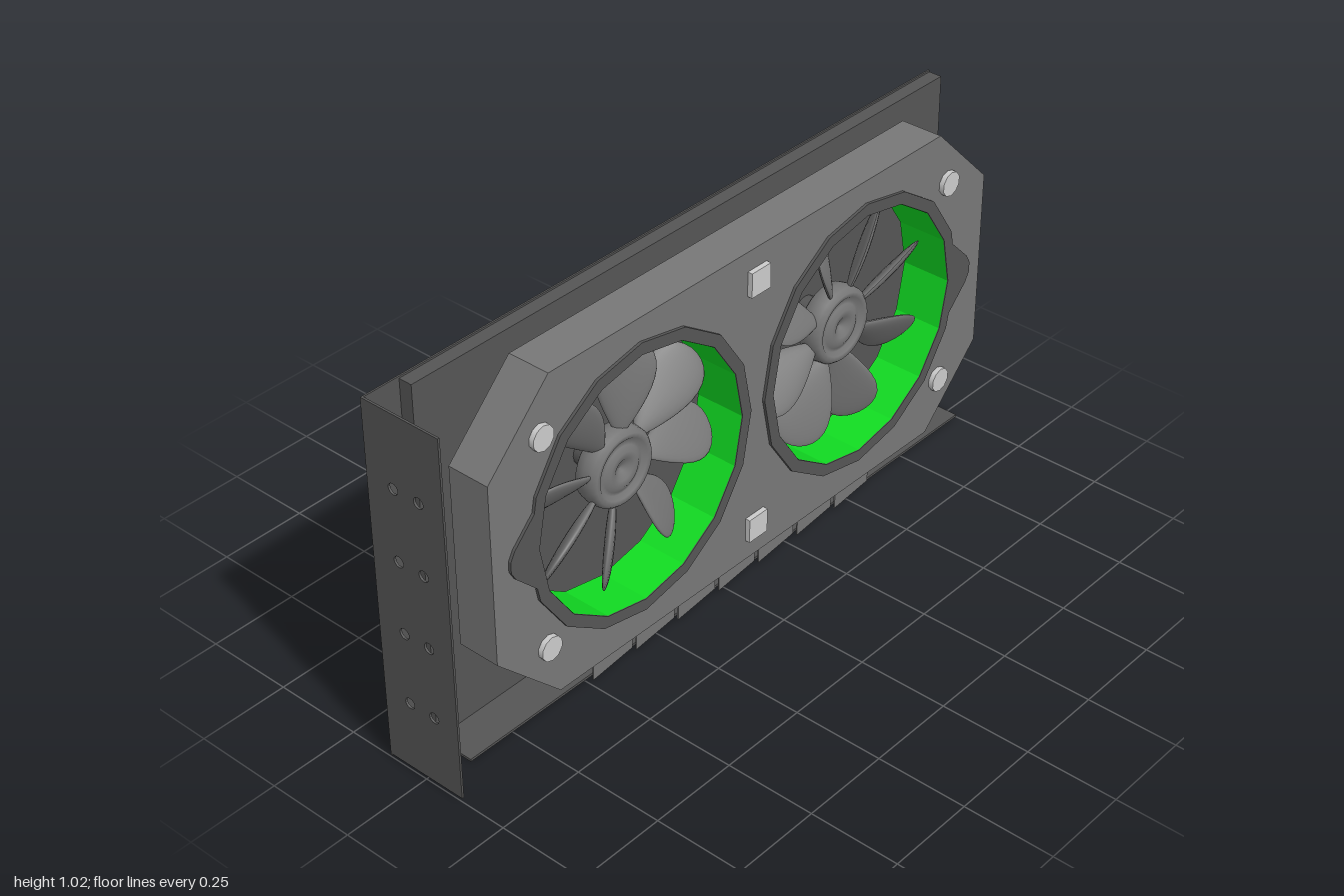
import * as THREE from 'three';

const mat = (color, extra = {}) => new THREE.MeshStandardMaterial({ color, ...extra });
const dark = mat(0x555555);
const mid = mat(0x777777);
const light = mat(0xcccccc);
const green = mat(0x11dd22, { side: THREE.DoubleSide, flatShading: true });

const FANS = [
  { x: -0.36, side: -1, start: 37 },
  { x: 0.46, side: 1, start: 15 },
];
const FAN_Y = 0.565;
const SIDES = 16;

function add(parent, name, geometry, material, x = 0, y = 0, z = 0) {
  const mesh = new THREE.Mesh(geometry, material);
  mesh.name = name;
  mesh.position.set(x, y, z);
  parent.add(mesh);
  return mesh;
}

// Box given by its lower and upper corners
function slab(parent, name, material, [x0, y0, z0], [x1, y1, z1]) {
  return add(parent, name, new THREE.BoxGeometry(x1 - x0, y1 - y0, z1 - z0), material,
    (x0 + x1) / 2, (y0 + y1) / 2, (z0 + z1) / 2);
}

function polygon(radius, cx = 0, cy = 0, sides = SIDES) {
  return Array.from({ length: sides }, (_, i) => {
    const a = (i / sides) * Math.PI * 2;
    return new THREE.Vector2(cx + radius * Math.cos(a), cy + radius * Math.sin(a));
  });
}

function extrude(outline, holes, depth) {
  const shape = new THREE.Shape(outline);
  for (const hole of holes) shape.holes.push(new THREE.Path(hole));
  return new THREE.ExtrudeGeometry(shape, { depth, bevelEnabled: false });
}

const points = (list) => list.map(([x, y]) => new THREE.Vector2(x, y));

// Paddle blade: a sphere stretched outward, widened toward the tip and pitched
function bladeGeometry(side) {
  const geo = new THREE.SphereGeometry(1, 20, 16);
  const p = geo.attributes.position;
  for (let i = 0; i < p.count; i++) {
    const t = (p.getY(i) + 1) / 2;
    const w = p.getX(i) * (0.03 + 0.075 * t);
    const h = p.getZ(i) * 0.013;
    const pitch = side * (0.75 - 0.15 * t);
    p.setXYZ(i,
      w * Math.cos(pitch) + h * Math.sin(pitch),
      0.085 + 0.25 * t,
      -w * Math.sin(pitch) + h * Math.cos(pitch));
  }
  geo.computeVertexNormals();
  return geo;
}

function makeFan({ x, side, start }) {
  const fan = new THREE.Group();
  fan.name = side < 0 ? 'rightFan' : 'leftFan';
  fan.position.set(x, FAN_Y, 0);

  // Faceted ring with coloured lining and a mounting ear
  add(fan, 'fanRing', extrude(polygon(0.385), [polygon(0.352)], 0.143), dark, 0, 0, -0.028);
  const lining = new THREE.CylinderGeometry(0.351, 0.351, 0.14, SIDES, 1, true);
  add(fan, 'ringLining', lining.rotateX(Math.PI / 2), green, 0, 0, 0.043);
  const ear = points([[0.36, -0.11], [0.385, -0.085], [0.43, -0.04], [0.444, -0.015],
    [0.444, 0.015], [0.43, 0.04], [0.385, 0.085], [0.36, 0.11]]);
  const earMesh = add(fan, 'ringEar', extrude(ear, [], 0.143), dark, 0, 0, -0.028);
  if (side < 0) earMesh.rotation.z = Math.PI;

  // Turned hub with a raised rim and a dimpled centre
  const hub = new THREE.LatheGeometry(points([
    [0, -0.02], [0.09, -0.02], [0.103, -0.01], [0.108, 0.015], [0.105, 0.04], [0.095, 0.052],
    [0.082, 0.05], [0.072, 0.04], [0.062, 0.043], [0.048, 0.052], [0.03, 0.05], [0.012, 0.038], [0, 0.034],
  ]), 32);
  add(fan, 'fanHub', hub.rotateX(Math.PI / 2), mid);
  const shaft = new THREE.CylinderGeometry(0.04, 0.04, 0.07, 16);
  add(fan, 'fanShaft', shaft.rotateX(Math.PI / 2), dark, 0, 0, -0.045);

  const blade = bladeGeometry(side);
  for (let i = 0; i < 8; i++) {
    const mesh = add(fan, 'fanBlade', blade, mid, 0, 0, 0.025);
    mesh.rotation.z = THREE.MathUtils.degToRad(start + i * 45 - 90);
  }
  return fan;
}

export function createModel() {
  const model = new THREE.Group();
  model.name = 'expansionCard';

  // Back plate, circuit board and lower lip
  slab(model, 'backPlate', dark, [-1, 0.005, -0.12], [1, 1.025, -0.115]);
  slab(model, 'circuitBoard', dark, [-0.89, 0.005, -0.115], [1, 1.02, -0.077]);
  slab(model, 'lowerLip', dark, [-0.89, 0, -0.12], [1, 0.007, 0.035]);

  // End bracket with two columns of screw holes
  const holes = [];
  for (const y of [0.21, 0.415, 0.62, 0.82])
    for (const z of [0.042, -0.037]) holes.push(polygon(0.015, z, y, 16));
  const bracket = extrude(points([[-0.12, 0.01], [0.118, 0.01], [0.118, 1.025], [-0.12, 1.025]]), holes, 0.006);
  add(model, 'endBracket', bracket.rotateY(-Math.PI / 2), dark, -0.994);

  // Shroud with cut corners and two fan openings
  const outline = points([[-0.655, 0.11], [0.757, 0.11], [0.957, 0.31], [0.957, 0.815],
    [0.757, 1.013], [-0.655, 1.013], [-0.855, 0.815], [-0.855, 0.31]]);
  const openings = FANS.map((f) => polygon(0.37, f.x, FAN_Y));
  add(model, 'shroud', extrude(outline, openings, 0.12), mid, 0, 0, -0.013);

  for (const fan of FANS) model.add(makeFan(fan));

  // Corner pegs and square studs run right through the shroud
  const peg = new THREE.CylinderGeometry(0.034, 0.034, 0.148, 10).rotateX(Math.PI / 2);
  for (const x of [-0.69, 0.795])
    for (const y of [0.265, 0.863]) add(model, 'cornerPeg', peg, light, x, y, 0.047);
  for (const y of [0.203, 0.925])
    add(model, 'squareStud', new THREE.BoxGeometry(0.068, 0.068, 0.148), light, 0.05, y, 0.047);

  // Row of slightly angled contact plates under the shroud
  const count = 7;
  const width = 1.085 / count;
  for (let i = 0; i < count; i++) {
    const plate = add(model, 'contactPlate', new THREE.BoxGeometry(width, 0.105, 0.004), mid,
      -0.49 + (i + 0.5) * width, 0.0595, 0.047);
    plate.rotation.y = Math.atan(0.013 / width);
  }
  return model;
}
